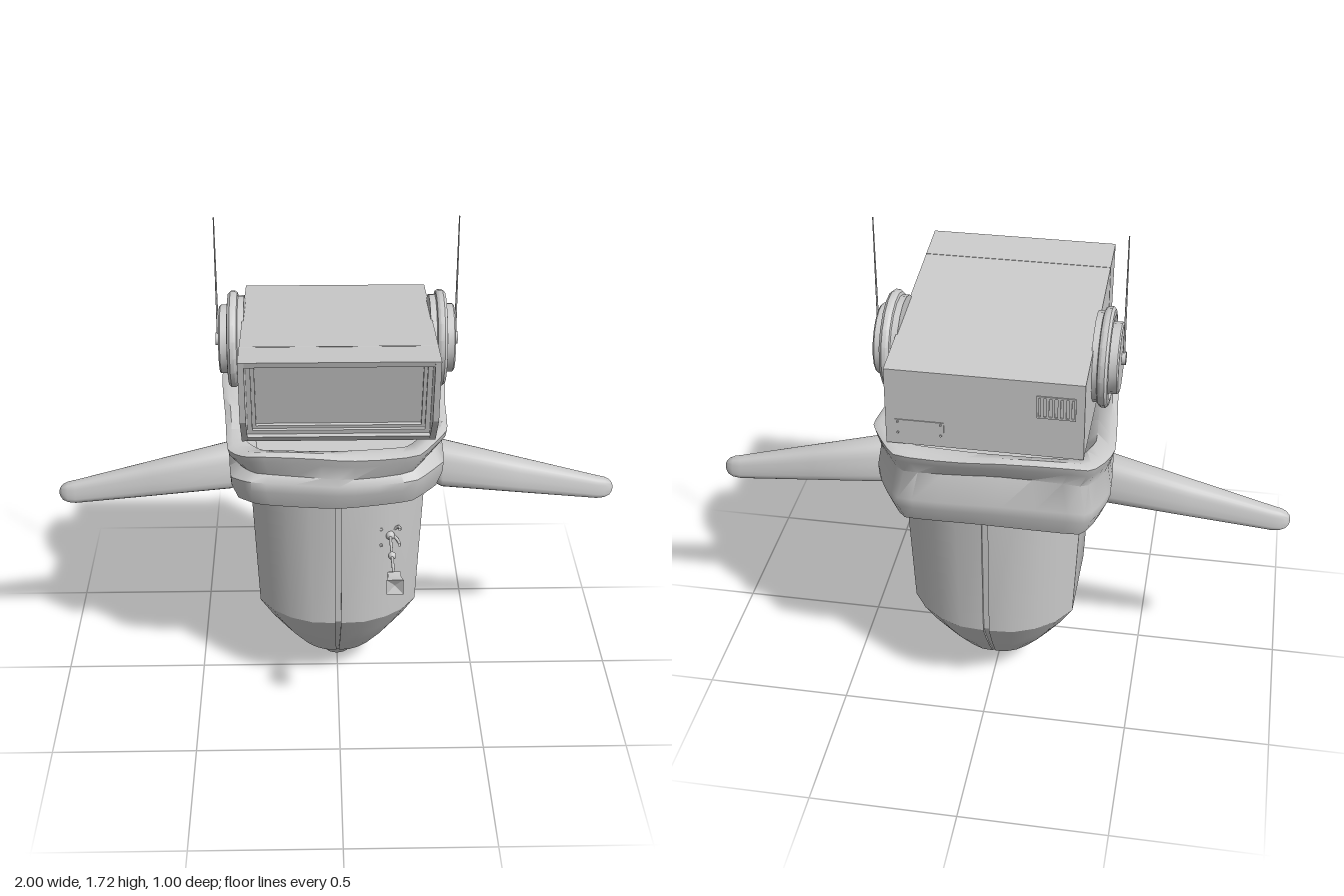
import * as THREE from 'three';
import { mergeVertices, toCreasedNormals } from 'three/addons/utils/BufferGeometryUtils.js';

const mat = new THREE.MeshStandardMaterial({ color: 0xcccccc });
const thin = new THREE.MeshStandardMaterial({ color: 0xcccccc, side: THREE.DoubleSide });
const AXIS_Z = -0.12;

function add(parent, name, geo, x = 0, y = 0, z = 0, material = mat) {
  const m = new THREE.Mesh(geo, material);
  m.name = name;
  m.position.set(x, y, z);
  parent.add(m);
  return m;
}

// Skin a list of closed rings of [x, y, z], capped at both ends
function loft(rings, crease) {
  const n = rings[0].length, pos = rings.flat(2), idx = [];
  for (let i = 0; i < rings.length - 1; i++) {
    for (let j = 0; j < n; j++) {
      const a = i * n + j, b = i * n + (j + 1) % n, c = a + n, d = b + n;
      idx.push(a, c, b, b, c, d);
    }
  }
  [0, rings.length - 1].forEach((r) => {
    const centre = pos.length / 3;
    for (let k = 0; k < 3; k++) pos.push(rings[r].reduce((s, p) => s + p[k], 0) / n);
    for (let j = 0; j < n; j++) {
      const a = r * n + j, b = r * n + (j + 1) % n;
      idx.push(centre, r ? b : a, r ? a : b);
    }
  });
  const g = new THREE.BufferGeometry();
  g.setAttribute('position', new THREE.Float32BufferAttribute(pos, 3));
  g.setIndex(idx);
  return toCreasedNormals(mergeVertices(g), crease);
}

// Extrude a [z, y] profile along x
function slab(profile, x0, x1) {
  const shape = new THREE.Shape(profile.map(([z, y]) => new THREE.Vector2(z, y)));
  const g = new THREE.ExtrudeGeometry(shape, { depth: x1 - x0, bevelEnabled: false });
  return g.rotateY(-Math.PI / 2).translate(x1, 0, 0);
}

function frame(w, h, border, depth) {
  const rect = (P, a, b) => new P([[-a, -b], [a, -b], [a, b], [-a, b]].map((p) => new THREE.Vector2(...p)));
  const s = rect(THREE.Shape, w / 2, h / 2);
  s.holes.push(rect(THREE.Path, w / 2 - border, h / 2 - border));
  return new THREE.ExtrudeGeometry(s, { depth, bevelEnabled: false });
}

function buildBody(root) {
  // Quarter outline: flat side, rounded corner, narrow groove at the middle
  const q = [[1, 0.5], [0.83, 0.72], [0.6, 0.88], [0.33, 0.98], [0.035, 1], [0.035, 0.965]];
  const mirrorX = (a) => a.map(([x, z]) => [-x, z]).reverse();
  const front = [...q, ...mirrorX(q)];
  const outline = [...front, ...front.map(([x, z]) => [-x, -z])];
  const levels = [[0.09, 0.13, 0.155], [0.16, 0.185, 0.21], [0.24, 0.237, 0.265], [0.32, 0.28, 0.315],
    [0.81, 0.303, 0.33], [0.95, 0.305, 0.33]];
  add(root, 'body', loft(levels.map(([y, a, b]) => outline.map(([x, z]) => [x * a, y, AXIS_Z + z * b])), 0.5));
  const foot = [[0, 0], [0.048, 0], [0.115, 0.075], [0.13, 0.08], [0.13, 0.095], [0, 0.095]];
  const g = new THREE.LatheGeometry(foot.map((p) => new THREE.Vector2(...p)), 20);
  add(root, 'footCone', toCreasedNormals(g, 0.5), 0, 0, AXIS_Z);
}

function buildScarf(root) {
  const plan = [[0.39, -0.33], [0.38, -0.12], [0.37, 0.1], [0.27, 0.25], [0, 0.28], [-0.3, 0.265], [-0.37, 0.19],
    [-0.385, 0], [-0.41, -0.33], [-0.34, -0.48], [0, -0.5], [0.29, -0.48]];
  const curve = new THREE.CatmullRomCurve3(plan.map(([x, z]) => new THREE.Vector3(x, 0, z)), true, 'catmullrom', 0.2);
  const pts = [];
  for (let i = 0; i < 48; i++) pts.push(curve.getPoint(i / 48));
  // [scale, height]: tucked hem, lower roll, crease, upper roll, inner lip
  const levels = [[0.7, 0.86], [0.84, 0.805], [0.92, 0.815], [0.975, 0.875], [0.98, 0.91], [0.92, 0.965],
    [0.985, 1.02], [1, 1.045], [0.95, 1.055], [0.84, 1.045], [0.74, 0.99]];
  const rings = levels.map(([s, h], i) => pts.map((p, j) => {
    const t = j / 48 * Math.PI * 2;
    const wave = 0.008 * Math.sin(5 * t + i * 0.25) * (i > 0 && i < 9 ? 1 : 0);
    const tilt = h > 0.95 ? -0.045 * (p.z + 0.1) : 0.05 * (p.z + 0.05);
    const squeeze = s * (i === 5 ? 1 + 0.03 * Math.cos(3 * t) : 1);
    return [p.x * squeeze, h + wave + tilt, -0.11 + (p.z + 0.11) * squeeze];
  }));
  add(root, 'scarf', loft(rings, 0.8));
}

function buildHead(root) {
  const head = new THREE.Group();
  head.name = 'head';
  root.add(head);
  const cheek = [[-0.44, 1.075], [0.23, 1.075], [0.34, 1.2], [0.38, 1.43], [-0.44, 1.35]];
  const core = [[-0.44, 1.075], [0.23, 1.075], [0.25, 1.1], [0.21, 1.105], [0.28, 1.4], [0.374, 1.41],
    [0.38, 1.43], [-0.44, 1.35]];
  add(head, 'headShell', slab(core, -0.3, 0.3));
  add(head, 'leftCheek', slab(cheek, 0.3, 0.32));
  add(head, 'rightCheek', slab(cheek, -0.32, -0.3));
  // Stepped screen surround
  [[0.6, 0.3, 0.016, 0.022], [0.568, 0.268, 0.012, 0.012]].forEach(([w, h, b, d]) => {
    add(head, 'screenFrame', frame(w, h, b, d), 0, 1.253, 0.245).rotation.x = 0.233;
  });
  // Panel seams
  add(head, 'roofSeam', new THREE.BoxGeometry(0.64, 0.003, 0.004), 0, 1.415, 0.23);
  for (const s of [-1, 1]) add(head, 'cheekSeam', new THREE.BoxGeometry(0.002, 0.15, 0.004), s * 0.32, 1.34, 0.23);
  // Rear vent and service plate
  add(head, 'ventFrame', frame(0.125, 0.08, 0.006, 0.005), -0.23, 1.26, -0.444);
  for (let i = 0; i < 6; i++) {
    add(head, 'ventSlat', new THREE.BoxGeometry(0.009, 0.07, 0.006), -0.275 + i * 0.018, 1.26, -0.441);
  }
  add(head, 'servicePlate', new THREE.BoxGeometry(0.16, 0.055, 0.004), 0.21, 1.14, -0.441);
  for (const x of [0.14, 0.28]) for (const y of [1.12, 1.16]) {
    add(head, 'bolt', new THREE.CylinderGeometry(0.004, 0.004, 0.006, 8).rotateX(Math.PI / 2), x, y, -0.444);
  }
  // Ear discs with hub and aerial
  const ear = [[0, 0.315], [0.15, 0.315], [0.15, 0.336], [0.16, 0.339], [0.166, 0.348], [0.166, 0.362],
    [0.158, 0.371], [0.14, 0.373], [0.132, 0.365], [0.118, 0.365], [0.118, 0.397], [0.113, 0.402], [0, 0.402]];
  for (const s of [-1, 1]) {
    const g = toCreasedNormals(new THREE.LatheGeometry(ear.map((p) => new THREE.Vector2(...p)), 18), 0.6);
    const e = new THREE.Group();
    e.name = s > 0 ? 'leftEar' : 'rightEar';
    e.position.set(0, 1.28, -0.135);
    head.add(e);
    add(e, 'earDisc', g).rotation.z = -s * Math.PI / 2;
    add(e, 'earHub', new THREE.CylinderGeometry(0.022, 0.022, 0.024, 14).rotateZ(Math.PI / 2), s * 0.404);
    add(e, 'aerial', new THREE.CylinderGeometry(0.002, 0.004, 0.44, 8), s * 0.408, 0.22);
  }
}

function buildArms(root) {
  // [x, centre y, half height, half depth]
  const levels = [[0.35, 0.803, 0.06, 0.066], [0.358, 0.803, 0.071, 0.079], [0.375, 0.801, 0.077, 0.085],
    [0.66, 0.746, 0.058, 0.061], [0.94, 0.692, 0.039, 0.037], [0.968, 0.69, 0.035, 0.033],
    [0.987, 0.689, 0.027, 0.024], [0.996, 0.689, 0.016, 0.014], [1, 0.689, 0.005, 0.005]];
  const pow = (v) => Math.sign(v) * Math.abs(v) ** 0.6;
  const rings = levels.map(([x, y, h, w]) => Array.from({ length: 24 }, (_, i) => {
    const t = i / 24 * Math.PI * 2, c = pow(Math.cos(t));
    return [x, y + h * c, -w * pow(Math.sin(t)) * (0.87 - 0.2 * c)];
  }));
  const geo = loft(rings, 0.8);
  for (const s of [1, -1]) {
    const arm = new THREE.Group();
    arm.name = s > 0 ? 'leftArm' : 'rightArm';
    arm.position.z = AXIS_Z;
    arm.rotation.y = s > 0 ? 0 : Math.PI;
    root.add(arm);
    add(arm, 'armShell', geo);
    add(arm, 'shoulderBracket', new THREE.BoxGeometry(0.06, 0.1, 0.09), 0.325, 0.8, 0);
  }
}

function buildProbe(root) {
  const p = new THREE.Group();
  p.name = 'probe';
  p.position.set(0.18, 0.667, 0);
  root.add(p);
  add(p, 'probeJoint', new THREE.SphereGeometry(0.016, 14, 10), 0, 0, 0.168);
  add(p, 'probeRod', new THREE.CylinderGeometry(0.005, 0.005, 0.27, 10).rotateX(Math.PI / 2), 0, 0, 0.3);
  add(p, 'rodCollar', new THREE.SphereGeometry(0.014, 14, 10), 0, 0, 0.3);
  // Claw-like prongs around the joint
  for (let i = 0; i < 4; i++) {
    const c = new THREE.QuadraticBezierCurve3(new THREE.Vector3(0.018, 0, 0.15),
      new THREE.Vector3(0.05, 0, 0.15), new THREE.Vector3(0.045, 0, 0.182));
    add(p, 'prong', new THREE.TubeGeometry(c, 6, 0.006, 6), 0, 0, 0, thin).rotation.z = Math.PI / 4 + i * Math.PI / 2;
  }
  // Square flared cup
  const cup = [[0, 0.42], [0.02, 0.42], [0.032, 0.436], [0.03, 0.46], [0.04, 0.495], [0.034, 0.493], [0, 0.482]];
  const g = new THREE.LatheGeometry(cup.map((v) => new THREE.Vector2(...v)), 4).rotateY(Math.PI / 4).rotateX(Math.PI / 2);
  add(p, 'probeCup', toCreasedNormals(g, 0.3), 0, 0, 0, thin);
}

export function createModel() {
  const root = new THREE.Group();
  root.name = 'robot';
  buildBody(root);
  buildScarf(root);
  buildHead(root);
  buildArms(root);
  buildProbe(root);
  return root;
}
